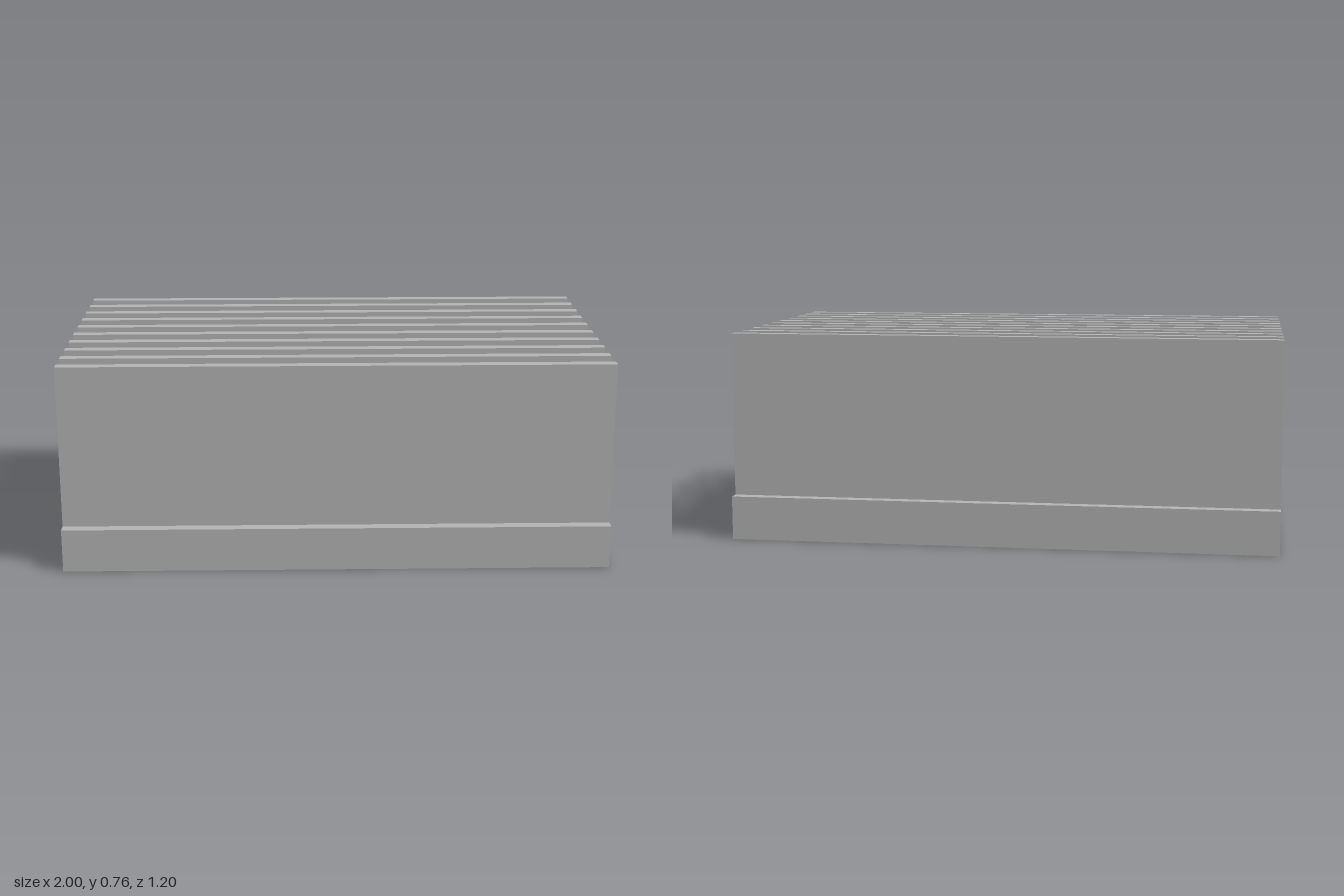
import * as THREE from 'three';

const LENGTH = 2, DEPTH = 1.2, BASE_HEIGHT = 0.16;
const FIN_COUNT = 10, FIN_HEIGHT = 0.6, FIN_THICKNESS = 0.04, FIN_PITCH = 0.12;

export function createModel() {
  const model = new THREE.Group();
  model.name = 'heatSink';

  const aluminium = new THREE.MeshStandardMaterial({ color: 0xb2b2b2 });
  aluminium.name = 'aluminium grey';

  // Solid base plate
  const base = new THREE.Mesh(new THREE.BoxGeometry(LENGTH, BASE_HEIGHT, DEPTH), aluminium);
  base.name = 'basePlate';
  base.position.y = BASE_HEIGHT / 2;
  model.add(base);

  // Row of evenly spaced upright fins, flush with the ends of the base
  const fins = new THREE.Group();
  fins.name = 'coolingFins';
  const finGeometry = new THREE.BoxGeometry(LENGTH, FIN_HEIGHT, FIN_THICKNESS);
  for (let i = 0; i < FIN_COUNT; i++) {
    const fin = new THREE.Mesh(finGeometry, aluminium);
    fin.name = `fin${i + 1}`;
    fin.position.set(0, BASE_HEIGHT + FIN_HEIGHT / 2, (i - (FIN_COUNT - 1) / 2) * FIN_PITCH);
    fins.add(fin);
  }
  model.add(fins);

  return model;
}
